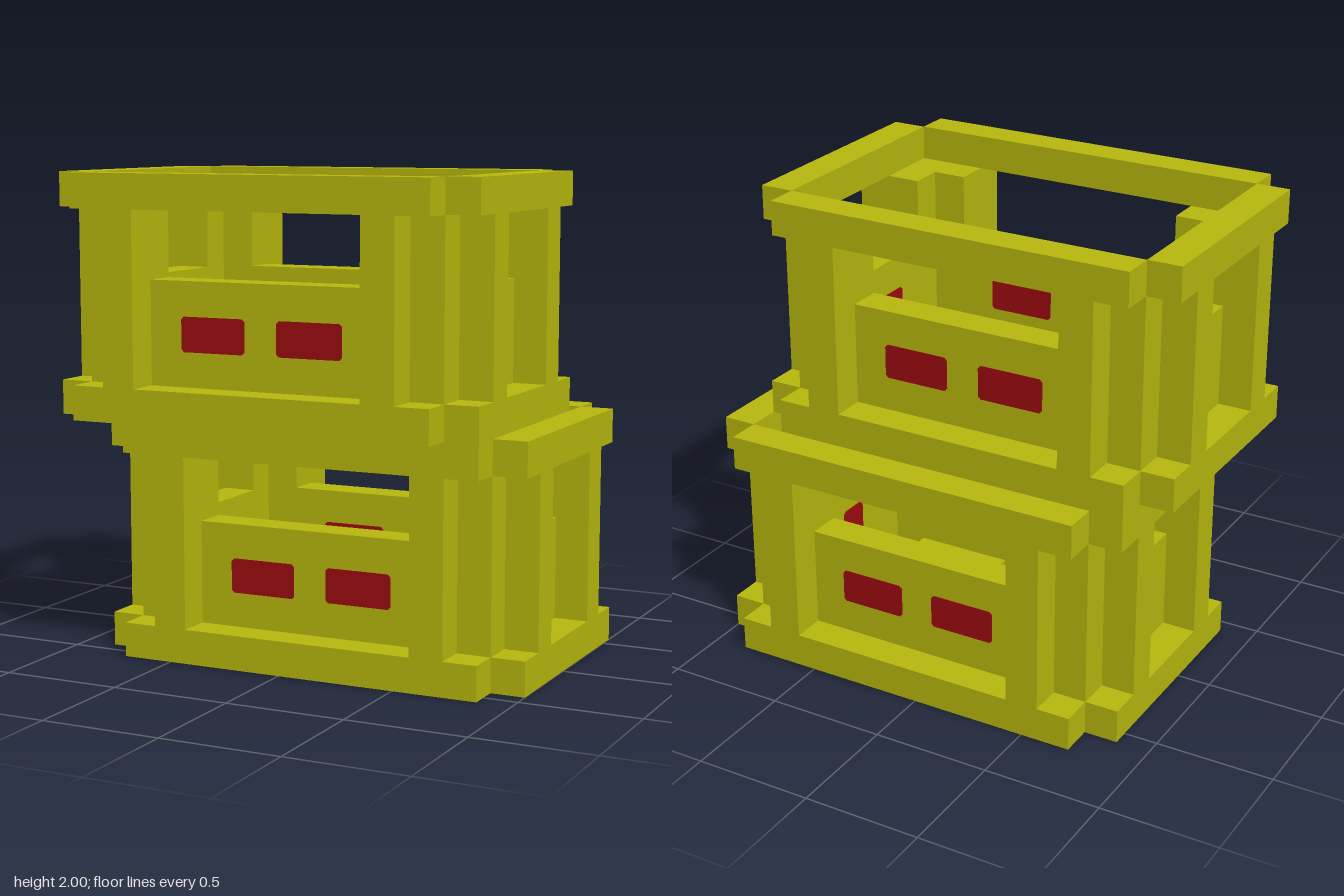
import * as THREE from 'three';

const U = 1 / 7; // building unit

const yellow = new THREE.MeshStandardMaterial({ color: 0xb9b90e });
yellow.name = 'olive yellow';
const red = new THREE.MeshStandardMaterial({ color: 0x9e0c10 });
red.name = 'dark red';

// Box given by its extents, in units
function box(parent, name, x0, x1, y0, y1, z0, z1) {
  const geometry = new THREE.BoxGeometry((x1 - x0) * U, (y1 - y0) * U, (z1 - z0) * U);
  const mesh = new THREE.Mesh(geometry, yellow);
  mesh.name = name;
  mesh.position.set((x0 + x1) / 2 * U, (y0 + y1) / 2 * U, (z0 + z1) / 2 * U);
  parent.add(mesh);
}

// Rectangle outline in units, with optional chamfered corners
function rectangle(PathType, cx, cy, w, h, c = 0) {
  const x = w / 2, y = h / 2;
  const corners = c
    ? [[-x + c, -y], [x - c, -y], [x, -y + c], [x, y - c], [x - c, y], [-x + c, y], [-x, y - c], [-x, -y + c]]
    : [[-x, -y], [x, -y], [x, y], [-x, y]];
  return new PathType(corners.map(([a, b]) => new THREE.Vector2((cx + a) * U, (cy + b) * U)));
}

// One side of a crate, facing +z; half = half its length, d = distance of the panel face
function createWall(half, d, patchCentres, patchWidth) {
  const wall = new THREE.Group();
  const open = half - 2;

  // Outer frame
  box(wall, 'bottomRail', -half, half, 0, 1, d, d + 1);
  box(wall, 'topRail', -half, half, 6, 7, d, d + 1);
  for (const s of [-1, 1]) {
    const a = s * open, b = s * (open + 1);
    const x0 = Math.min(a, b), x1 = Math.max(a, b);
    box(wall, 'outerPost', x0, x1, 1, 6, d, d + 1);
    box(wall, 'innerPost', x0, x1, 1, 6, d - 1, d);
  }

  // Recessed half-height panel
  box(wall, 'panel', -open, open, 1, 4, d - 1, d);

  // Red patches showing on both faces of the panel
  const lift = 0.004;
  for (const cx of patchCentres) {
    const shape = rectangle(THREE.Shape, cx, 2.5, patchWidth, 1, 0.08);
    for (const z of [(d - 1) * U - lift, d * U]) {
      const patch = new THREE.Mesh(
        new THREE.ExtrudeGeometry(shape, { depth: lift, bevelEnabled: false }), red);
      patch.name = 'redPatch';
      patch.position.z = z;
      wall.add(patch);
    }
  }
  return wall;
}

function createCrate() {
  const crate = new THREE.Group();

  // Floor with six square drain holes
  const outline = rectangle(THREE.Shape, 0, 0, 11, 7);
  for (const x of [-4, 0, 4]) {
    for (const y of [-2, 2]) outline.holes.push(rectangle(THREE.Path, x, y, 1, 1));
  }
  const floorGeometry = new THREE.ExtrudeGeometry(outline, { depth: U, bevelEnabled: false });
  floorGeometry.rotateX(-Math.PI / 2);
  const floor = new THREE.Mesh(floorGeometry, yellow);
  floor.name = 'floor';
  crate.add(floor);

  // Corner columns
  for (const sx of [-1, 1]) {
    for (const sz of [-1, 1]) {
      box(crate, 'cornerColumn', sx * 5 - 0.5, sx * 5 + 0.5, 1, 6, sz * 3 - 0.5, sz * 3 + 0.5);
    }
  }

  // Four walls: long ones at front and back, short ones at the sides
  ['frontWall', 'leftWall', 'backWall', 'rightWall'].forEach((name, i) => {
    const wall = i % 2 === 0
      ? createWall(5.5, 3.5, [-1.5, 1.5], 2)
      : createWall(3.5, 5.5, [0], 1);
    wall.name = name;
    wall.rotation.y = i * Math.PI / 2;
    crate.add(wall);
  });
  return crate;
}

export function createModel() {
  const model = new THREE.Group();
  model.name = 'stackedCrates';

  // Two equal crates, the upper one shifted diagonally
  const lower = createCrate();
  lower.name = 'lowerCrate';
  lower.position.set(0.5 * U, 0, -0.5 * U);
  const upper = createCrate();
  upper.name = 'upperCrate';
  upper.position.set(-0.5 * U, 7 * U, 0.5 * U);
  model.add(lower, upper);
  return model;
}
